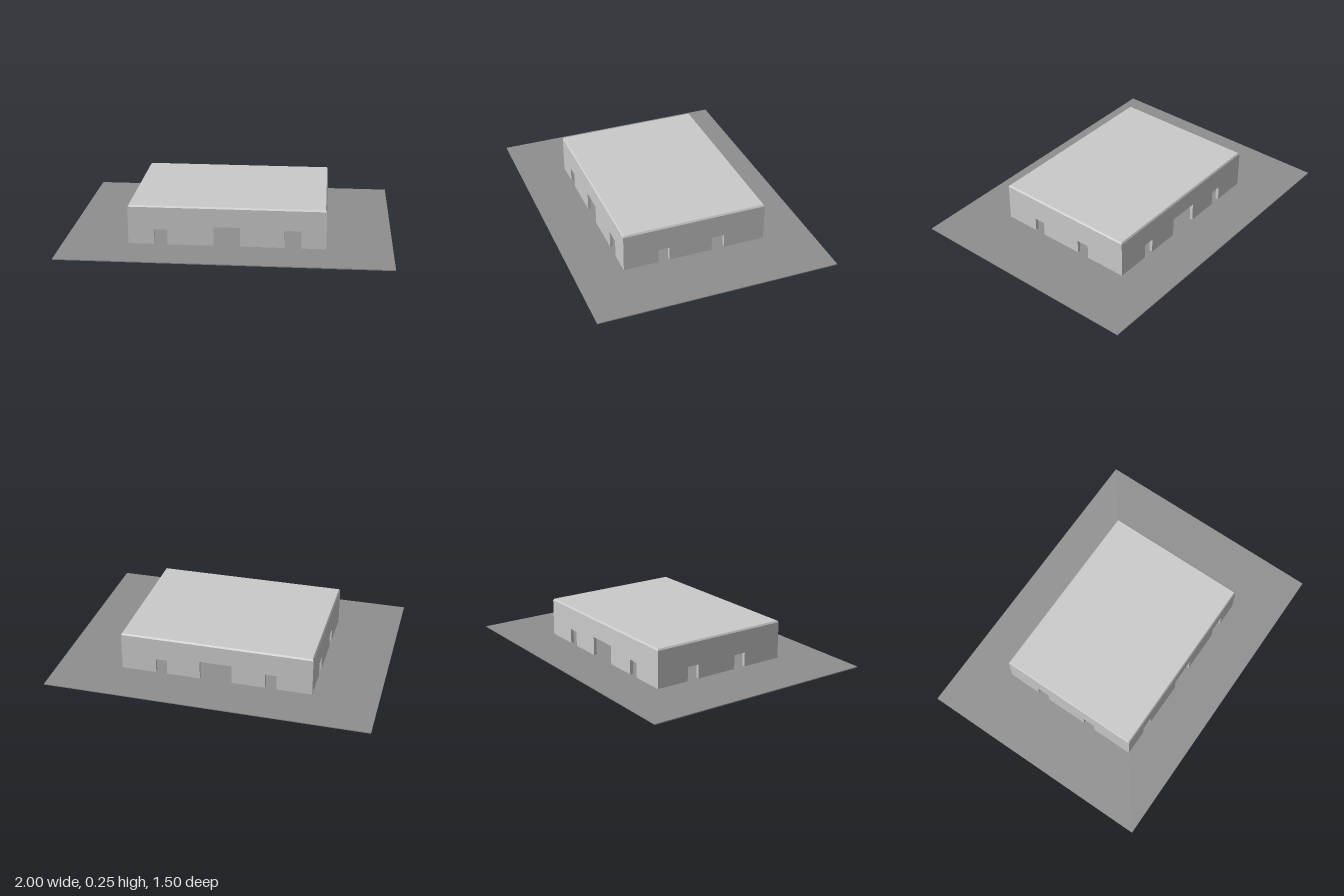
import * as THREE from 'three';

const W = 0.6, D = 0.454, BASE = 0.006, EAVE = 0.24, TOP = 0.25, T = 0.02;

export function createModel() {
  const model = new THREE.Group();
  const wallGrey = new THREE.MeshStandardMaterial({ name: 'light grey', color: 0xcacaca });
  const groundGrey = new THREE.MeshStandardMaterial({ name: 'mid grey', color: 0x8f8f8f });

  const add = (name, geometry, material, x = 0, y = 0, z = 0) => {
    const mesh = new THREE.Mesh(geometry, material);
    mesh.name = name;
    mesh.position.set(x, y, z);
    model.add(mesh);
    return mesh;
  };
  const box = (name, x0, x1, y0, y1, z0, z1, material = wallGrey) =>
    add(name, new THREE.BoxGeometry(x1 - x0, y1 - y0, z1 - z0), material,
      (x0 + x1) / 2, (y0 + y1) / 2, (z0 + z1) / 2);

  // Ground slab
  box('groundSlab', -1, 1, 0, BASE, -0.752, 0.752, groundGrey);

  // Wall outline with doorways notched from its foot; doors are [from, to, top]
  const wall = (name, half, distance, angle, doors) => {
    const s = new THREE.Shape();
    s.moveTo(-half, BASE);
    for (const [a, b, top] of doors) {
      s.lineTo(a, BASE);
      s.lineTo(a, top);
      s.lineTo(b, top);
      s.lineTo(b, BASE);
    }
    s.lineTo(half, BASE);
    s.lineTo(half, EAVE);
    s.lineTo(-half, EAVE);
    const g = new THREE.ExtrudeGeometry(s, { depth: T, bevelEnabled: false });
    g.translate(0, 0, distance - T);
    add(name, g, wallGrey).rotation.y = angle;
  };
  wall('frontWall', W, D, 0, [[-0.44, -0.36, 0.1], [-0.08, 0.08, 0.125], [0.35, 0.45, 0.115]]);
  wall('backWall', W, D, Math.PI, [[-0.38, -0.31, 0.1], [-0.1, 0.1, 0.125], [0.31, 0.38, 0.1]]);
  wall('leftWall', D - T, W, Math.PI / 2, [[-0.235, -0.165, 0.095], [0.11, 0.19, 0.095]]);
  wall('rightWall', D - T, W, -Math.PI / 2, [[-0.24, -0.16, 0.095], [0.11, 0.19, 0.095]]);

  // Roof slab with a small chamfer around its top edge
  const roof = new THREE.BoxGeometry(2 * W, TOP - EAVE, 2 * D);
  const p = roof.attributes.position;
  for (let i = 0; i < p.count; i++) {
    if (p.getY(i) > 0) {
      p.setX(i, p.getX(i) - Math.sign(p.getX(i)) * 0.007);
      p.setZ(i, p.getZ(i) - Math.sign(p.getZ(i)) * 0.007);
    }
  }
  roof.computeVertexNormals();
  add('roof', roof, wallGrey, 0, (EAVE + TOP) / 2, 0);

  // Indoor column with stepped blocks on both sides
  box('column', -0.028, 0.024, BASE, EAVE, -0.03, 0.03);
  for (const side of [-1, 1]) {
    const span = (a, b) => (side > 0 ? [a, b] : [-b, -a]);
    box('lowStep', ...span(0.024, 0.052), BASE, 0.04, -0.03, 0.03);
    box('highStep', ...span(0.052, 0.1), BASE, 0.08, -0.03, 0.03);
  }

  // Indoor ramps rising outwards to the front and the back
  for (const side of [-1, 1]) {
    const s = new THREE.Shape();
    s.moveTo(0.14, BASE);
    s.lineTo(0.24, BASE);
    s.lineTo(0.24, 0.1);
    s.lineTo(0.2, 0.1);
    const g = new THREE.ExtrudeGeometry(s, { depth: 0.1, bevelEnabled: false });
    g.translate(0, 0, -0.25);
    add('ramp', g, wallGrey).rotation.y = side * -Math.PI / 2;
  }
  return model;
}
